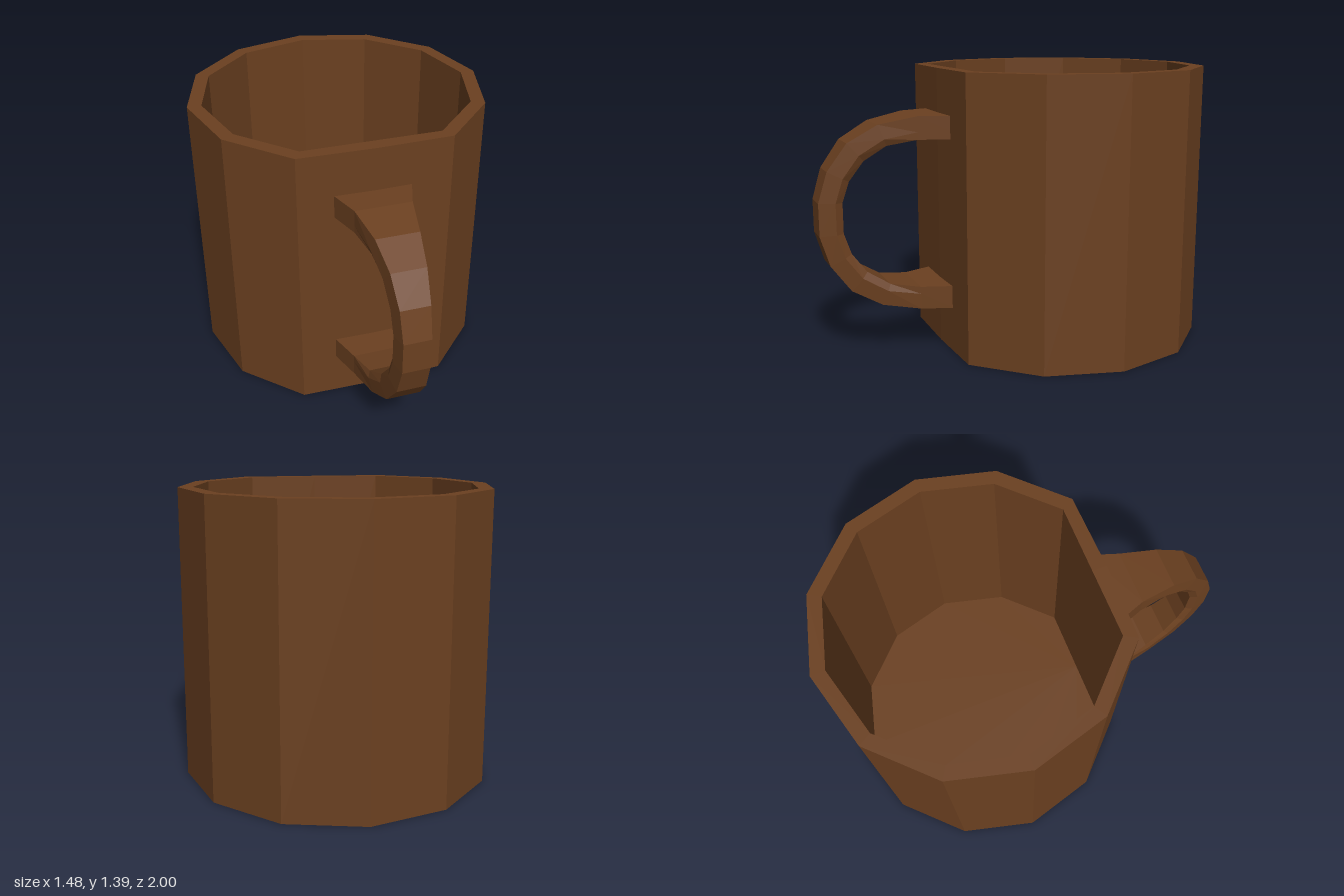
import * as THREE from 'three';

const material = new THREE.MeshStandardMaterial({ color: 0x6b4020, flatShading: true });

// Skin a list of closed rings (arrays of [x, y, z]) and cap both ends.
function loft(rings, name) {
  const n = rings[0].length;
  const index = [];
  for (let i = 0; i < rings.length - 1; i++) {
    for (let j = 0; j < n; j++) {
      const a = i * n + j, b = i * n + (j + 1) % n;
      index.push(a, b, b + n, a, b + n, a + n);
    }
  }
  const last = (rings.length - 1) * n;
  for (let j = 1; j < n - 1; j++) {
    index.push(0, j + 1, j);
    index.push(last, last + j, last + j + 1);
  }
  const indexed = new THREE.BufferGeometry();
  indexed.setAttribute('position', new THREE.Float32BufferAttribute(rings.flat(2), 3));
  indexed.setIndex(index);
  const geometry = indexed.toNonIndexed();
  geometry.computeVertexNormals();
  const mesh = new THREE.Mesh(geometry, material);
  mesh.name = name;
  return mesh;
}

// Twelve-sided ring whose front corner is flattened against the handle side.
function cupRing(radius, y, frontZ) {
  return Array.from({ length: 12 }, (_, i) => {
    const a = i * Math.PI / 6;
    return [radius * Math.sin(a), y, Math.min(-0.26 + radius * Math.cos(a), frontZ)];
  });
}

// Handle section: narrow outer and inner faces with a wider ridge between.
function handleRing([oz, oy, iz, iy, edge, ridge]) {
  const cx = -0.013, t = 0.68;
  const mz = oz + (iz - oz) * t, my = oy + (iy - oy) * t;
  return [
    [cx + edge, oy, oz], [cx - edge, oy, oz],
    [cx - ridge, my, mz],
    [cx - edge, iy, iz], [cx + edge, iy, iz],
    [cx + ridge, my, mz],
  ];
}

export function createModel() {
  const group = new THREE.Group();
  group.name = 'mug';

  // Hollow cup: outside wall, rim, inside wall and floor
  group.add(loft([
    cupRing(0.74, 0, 0.39),
    cupRing(0.74, 1.39, 0.39),
    cupRing(0.67, 1.39, 0.32),
    cupRing(0.67, 0.07, 0.32),
  ], 'cup'));

  // Upper half of the handle: outer z, y, inner z, y, edge and ridge half widths
  const upper = [
    [0.38, 1.175, 0.38, 1.063, 0.187, 0.187],
    [0.53, 1.175, 0.53, 1.063, 0.135, 0.135],
    [0.715, 1.14, 0.675, 1.038, 0.102, 0.113],
    [0.86, 1.058, 0.782, 0.97, 0.082, 0.096],
    [0.955, 0.928, 0.852, 0.875, 0.07, 0.086],
    [1.0, 0.78, 0.885, 0.775, 0.065, 0.082],
  ];
  // Mirror about mid height for the lower half
  const lower = upper.map(([oz, oy, iz, iy, e, r]) => [oz, 1.4 - oy, iz, 1.4 - iy, e, r]).reverse();
  group.add(loft([...upper, ...lower].map(handleRing), 'handle'));

  return group;
}
